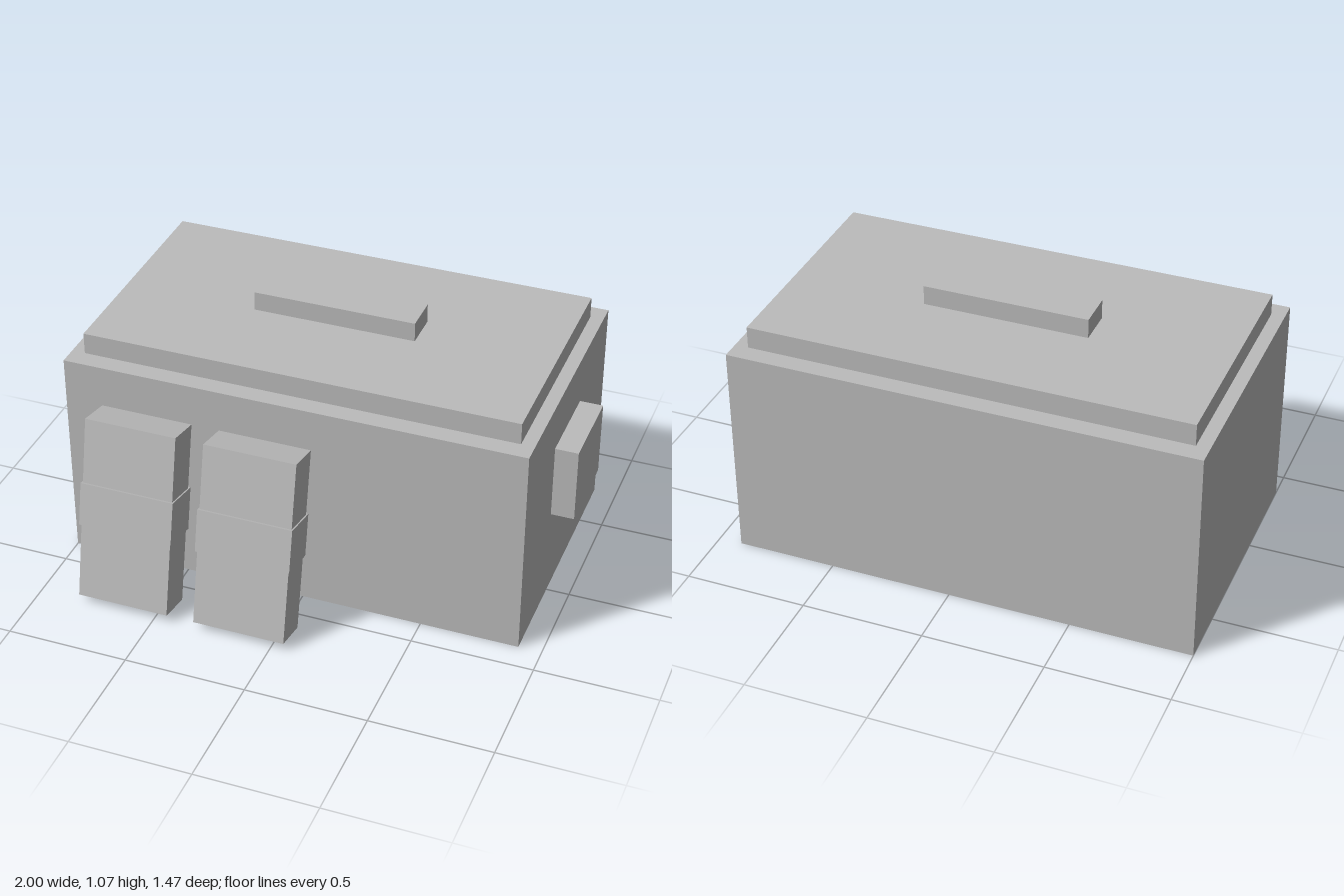
import * as THREE from 'three';

export function createModel() {
  const model = new THREE.Group();
  model.name = 'lidded chest';
  const grey = new THREE.MeshStandardMaterial({ color: 0xbcbcbc });
  grey.name = 'grey';

  const box = (name, parent, size, position) => {
    const mesh = new THREE.Mesh(new THREE.BoxGeometry(...size), grey);
    mesh.name = name;
    mesh.position.set(...position);
    parent.add(mesh);
    return mesh;
  };

  // Main block with a stepped lid, top grip and one side knob
  box('body', model, [1.905, 0.9, 1.12], [-0.0475, 0.45, -0.173]);
  box('lid', model, [1.795, 0.09, 0.964], [-0.0475, 0.945, -0.173]);
  box('lidHandle', model, [0.675, 0.08, 0.154], [-0.0475, 1.03, -0.173]);
  box('sideKnob', model, [0.095, 0.314, 0.357], [0.9525, 0.538, -0.173]);

  // Two banded slabs leaning back towards the front face
  for (const [side, x] of [['right', -0.633], ['left', -0.136]]) {
    const slab = new THREE.Group();
    slab.name = side + 'LeaningSlab';
    slab.position.set(x, 0.394, 0.579);
    slab.rotation.x = -0.211;
    box('slab', slab, [0.382, 0.765, 0.154], [0, 0, 0]);
    box('band', slab, [0.394, 0.18, 0.173], [0, 0.021, 0]);
    model.add(slab);
  }
  return model;
}
